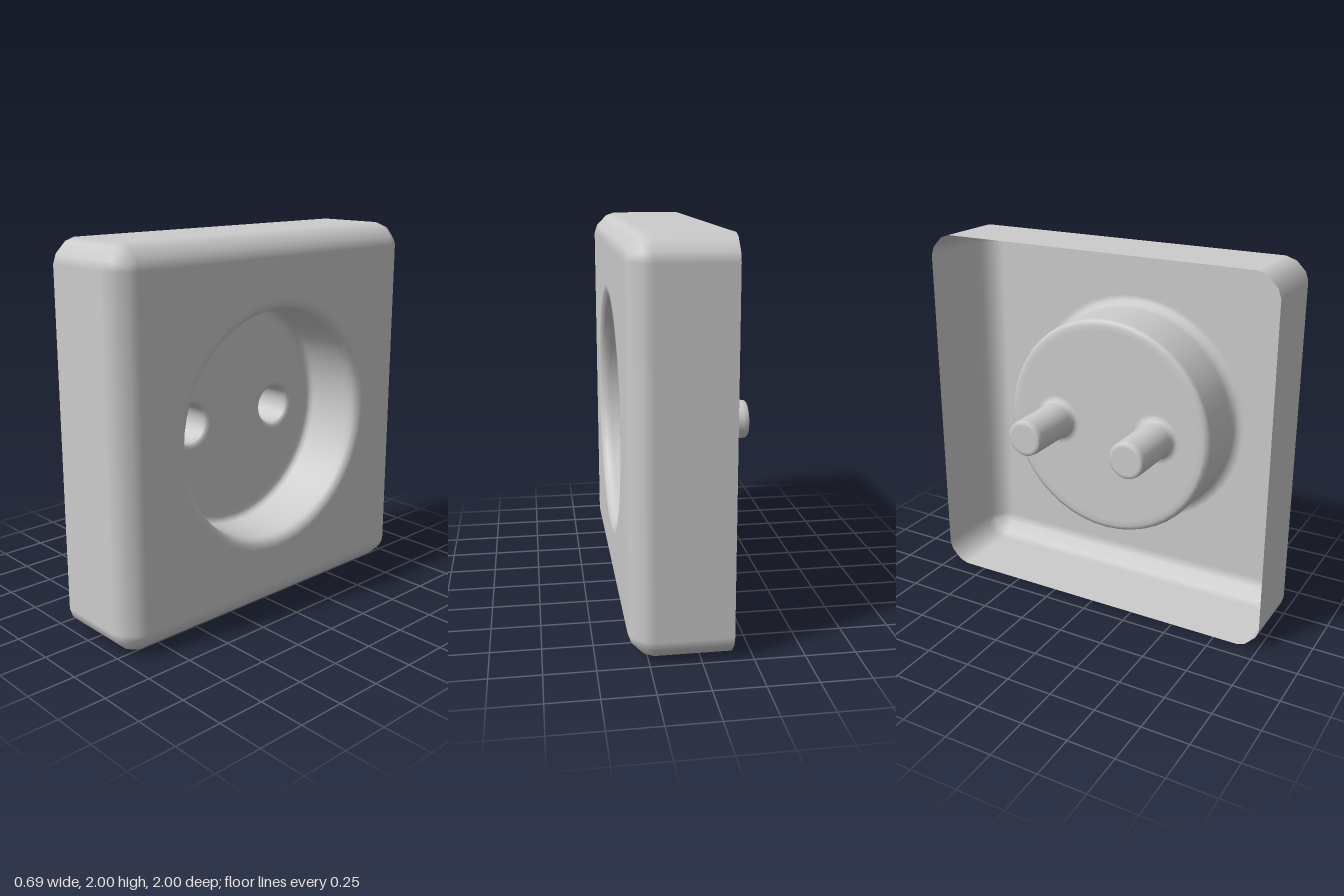
import * as THREE from 'three';

const SEG = 48;
const FACE = 0.343, FLOOR = 0, BACK = -0.155, PIN_END = -0.343;
const CORE = 0.88;          // half size of the flat face
const PIN_OFFSET = 0.305;   // pin distance from the centre

// Softened chamfer: outward offset, forward offset, normal angle
const BEVEL = [
  [0.12, 0, 0],
  [0.104, 0.048, Math.PI / 6],
  [0.048, 0.104, Math.PI / 3],
  [0, 0.12, Math.PI / 2],
];

const material = new THREE.MeshStandardMaterial({ color: 0xcccccc, side: THREE.DoubleSide });

function mesh(name, geometry) {
  const m = new THREE.Mesh(geometry, material);
  m.name = name;
  return m;
}

function circle(r, cx = 0) {
  return Array.from({ length: SEG }, (_, i) => {
    const a = (i / SEG) * Math.PI * 2;
    return new THREE.Vector2(cx + r * Math.cos(a), r * Math.sin(a));
  });
}

// Flat plate facing +z with holes
function plate(outline, holes, z) {
  const shape = new THREE.Shape(outline);
  holes.forEach(h => shape.holes.push(new THREE.Path(h)));
  return new THREE.ShapeGeometry(shape).translate(0, 0, z);
}

// Turned surface around z from [radius, z] points
function turned(points) {
  const profile = points.map(([r, z]) => new THREE.Vector2(r, z));
  return new THREE.LatheGeometry(profile, SEG).rotateX(Math.PI / 2);
}

// Open-backed side walls with chamfered corners and front edge
function shellGeometry() {
  const base = FACE - 0.12;
  const rings = [[0.12, BACK, 0], ...BEVEL.map(([out, fwd, n]) => [out, base + fwd, n])];
  const positions = [], normals = [], indices = [];
  const count = 4 * BEVEL.length;
  for (const [out, z, tilt] of rings) {
    for (let q = 0; q < 4; q++) {
      const turn = q * Math.PI / 2, c = Math.cos(turn), s = Math.sin(turn);
      for (const [u, v, n] of BEVEL) {
        const x = CORE + out * u / 0.12, y = CORE + out * v / 0.12;
        positions.push(x * c - y * s, x * s + y * c, z);
        normals.push(Math.cos(n + turn) * Math.cos(tilt), Math.sin(n + turn) * Math.cos(tilt), Math.sin(tilt));
      }
    }
  }
  for (let i = 0; i < rings.length - 1; i++) {
    for (let j = 0; j < count; j++) {
      const k = (j + 1) % count;
      const a = i * count + j, b = i * count + k, c = b + count, d = a + count;
      indices.push(a, b, c, a, c, d);
    }
  }
  const g = new THREE.BufferGeometry();
  g.setAttribute('position', new THREE.Float32BufferAttribute(positions, 3));
  g.setAttribute('normal', new THREE.Float32BufferAttribute(normals, 3));
  g.setIndex(indices);
  return g;
}

export function createModel() {
  const model = new THREE.Group();
  model.name = 'wallSocket';

  // Built facing +z around the centre, then turned to face +x
  const socket = new THREE.Group();
  socket.name = 'socket';
  socket.rotation.y = Math.PI / 2;
  socket.position.y = 1;
  model.add(socket);

  // Cover
  const square = [[1, 1], [-1, 1], [-1, -1], [1, -1]].map(([x, y]) => new THREE.Vector2(x * CORE, y * CORE));
  socket.add(mesh('coverShell', shellGeometry()));
  socket.add(mesh('coverFace', plate(square, [circle(0.67)], FACE)));

  // Round recess with a softened lip
  socket.add(mesh('recessWall', turned([
    [0.67, FACE], [0.64, FACE], [0.617, FACE - 0.025], [0.612, FACE - 0.06],
    [0.61, FLOOR + 0.03], [0.602, FLOOR + 0.008], [0.58, FLOOR], [0.55, FLOOR],
  ])));
  socket.add(mesh('recessFloor', plate(circle(0.55),
    [circle(0.14, -PIN_OFFSET), circle(0.14, PIN_OFFSET)], FLOOR)));

  // Closed contact tubes
  for (const side of [-1, 1]) {
    const tube = mesh(side < 0 ? 'leftContactTube' : 'rightContactTube', turned([
      [0.14, FLOOR], [0.12, FLOOR], [0.106, FLOOR - 0.012], [0.101, FLOOR - 0.04],
      [0.1, PIN_END + 0.03], [0.097, PIN_END + 0.008], [0.088, PIN_END], [0.075, PIN_END], [0, PIN_END],
    ]));
    tube.position.x = side * PIN_OFFSET;
    socket.add(tube);
  }
  return model;
}
